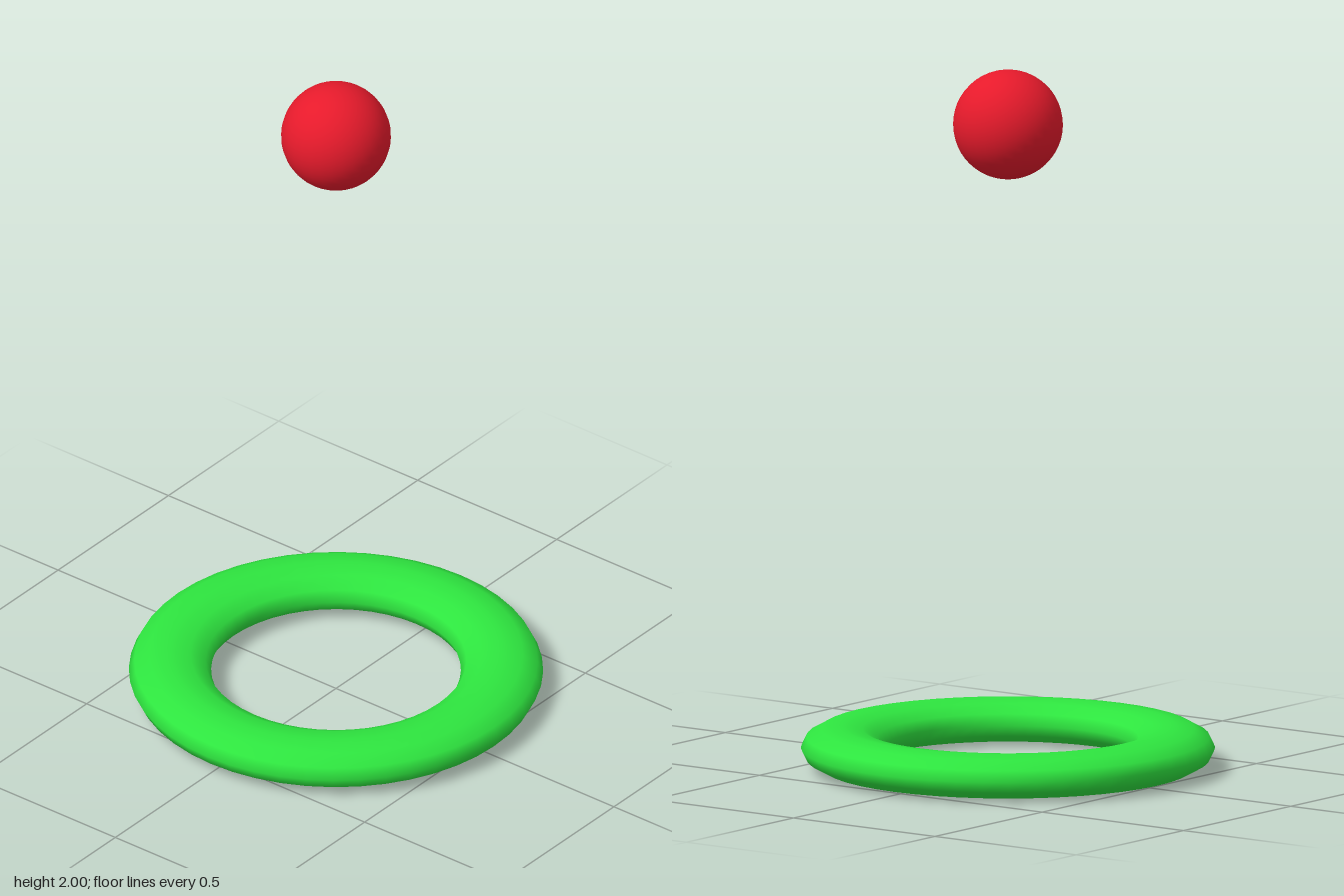
import * as THREE from 'three';

export function createModel() {
  const model = new THREE.Group();

  // Flattened ring lying on the ground
  const ringGeometry = new THREE.TorusGeometry(0.468, 0.116, 12, 48);
  ringGeometry.rotateX(-Math.PI / 2);
  ringGeometry.scale(1, 0.063 / 0.116, 1);
  const ring = new THREE.Mesh(ringGeometry, new THREE.MeshStandardMaterial({ color: 0x2ee53f }));
  ring.name = 'ring';
  ring.position.y = 0.063;
  model.add(ring);

  // Ball floating above the ring's centre
  const ball = new THREE.Mesh(
    new THREE.SphereGeometry(0.155, 32, 24),
    new THREE.MeshStandardMaterial({ color: 0xe61a2b })
  );
  ball.name = 'ball';
  ball.position.y = 1.845;
  model.add(ball);

  return model;
}
